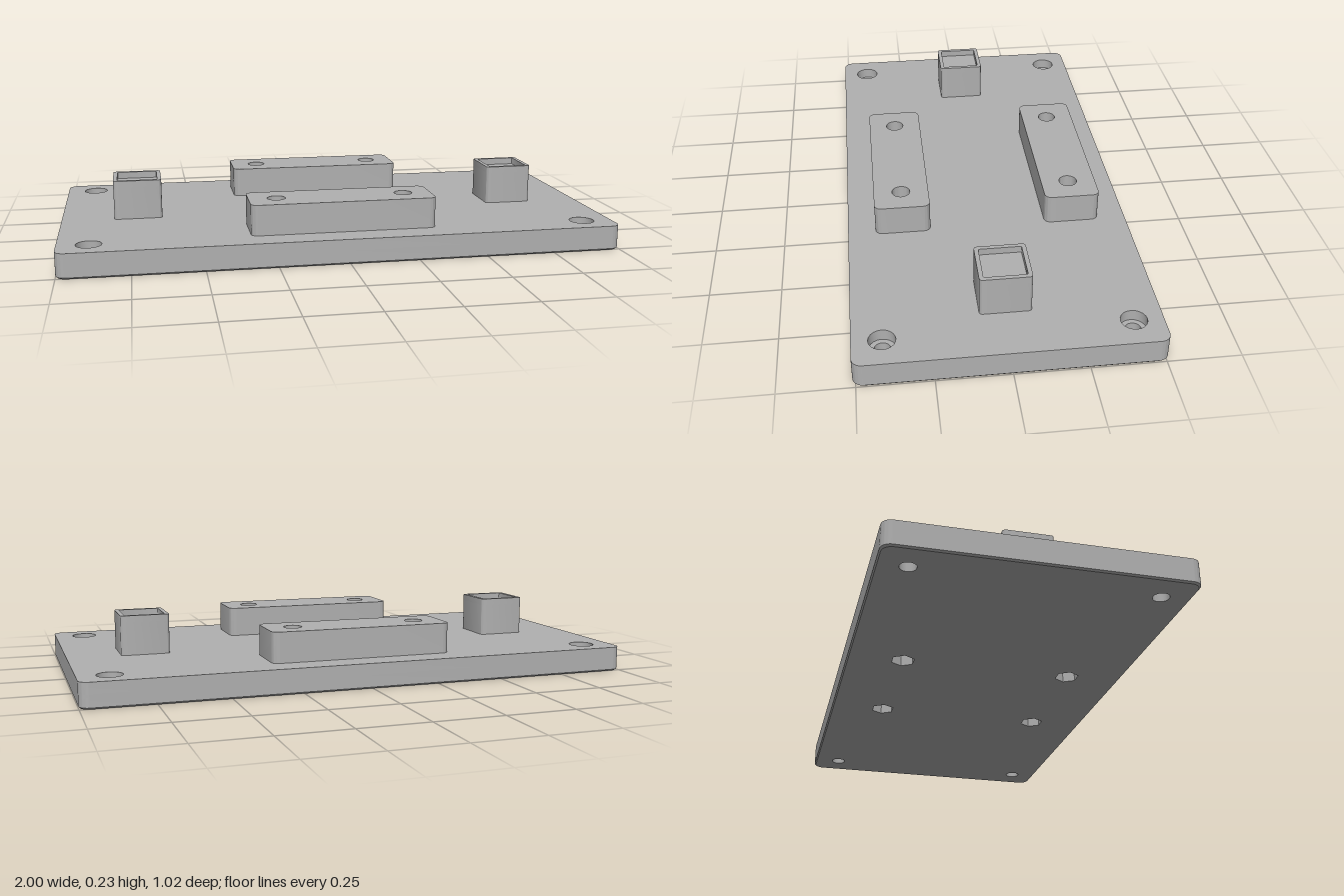
import * as THREE from 'three';
import { toCreasedNormals } from 'three/addons/utils/BufferGeometryUtils.js';

const SIGNS = [-1, 1];
const BOLTS = SIGNS.flatMap(sx => SIGNS.map(sz => [sx * 0.89, sz * 0.41]));
const NUTS = SIGNS.flatMap(sx => SIGNS.map(sz => [sx * 0.233, sz * 0.31]));

// Rounded rectangle centred on the origin
function roundedRect(w, d, r) {
  const x = w / 2 - r, y = d / 2 - r, q = Math.PI / 2;
  const s = new THREE.Shape();
  s.absarc(x, y, r, 0, q);
  s.absarc(-x, y, r, q, 2 * q);
  s.absarc(-x, -y, r, 2 * q, 3 * q);
  s.absarc(x, -y, r, 3 * q, 4 * q);
  s.closePath();
  return s;
}

function addRoundHoles(shape, centres, r) {
  for (const [x, z] of centres) {
    const p = new THREE.Path();
    p.absarc(x, -z, r, 0, Math.PI * 2, true);
    shape.holes.push(p);
  }
}

function addHexHoles(shape, centres, r) {
  for (const [x, z] of centres) {
    const pts = [];
    for (let i = 0; i < 6; i++) {
      const a = -i * Math.PI / 3;
      pts.push(new THREE.Vector2(x + r * Math.cos(a), -z + r * Math.sin(a)));
    }
    shape.holes.push(new THREE.Path(pts));
  }
}

// Upright prism between two heights
function prism(shape, y0, y1) {
  const g = new THREE.ExtrudeGeometry(shape, { depth: y1 - y0, bevelEnabled: false, curveSegments: 10 });
  g.rotateX(-Math.PI / 2);
  g.translate(0, y0, 0);
  return g;
}

export function createModel() {
  const group = new THREE.Group();
  const grey = new THREE.MeshStandardMaterial({ color: 0xb0b0b0 });
  grey.name = 'grey';

  function add(name, geometry, x = 0, z = 0) {
    const mesh = new THREE.Mesh(toCreasedNormals(geometry, Math.PI / 6), grey);
    mesh.name = name;
    mesh.position.set(x, 0, z);
    group.add(mesh);
  }

  // Base plate: lower layers hold nut pockets, upper layer holds counterbores
  const lower = roundedRect(2, 1.02, 0.035);
  addRoundHoles(lower, BOLTS, 0.028);
  addHexHoles(lower, NUTS, 0.044);
  add('basePlateLower', prism(lower, 0.006, 0.05));

  // Small chamfer around the bottom edge
  const foot = prism(lower, 0, 0.006);
  const p = foot.attributes.position;
  for (let i = 0; i < p.count; i++) {
    const x = p.getX(i), z = p.getZ(i);
    if (p.getY(i) < 0.003 && (Math.abs(x) > 0.96 || Math.abs(z) > 0.47)) {
      p.setX(i, x - Math.sign(x) * 0.005);
      p.setZ(i, z - Math.sign(z) * 0.005);
    }
  }
  add('basePlateChamfer', foot);

  const upper = roundedRect(2, 1.02, 0.035);
  addRoundHoles(upper, BOLTS, 0.045);
  addRoundHoles(upper, NUTS, 0.033);
  add('basePlateUpper', prism(upper, 0.05, 0.09));

  // Drilled mounting blocks, front and back
  const block = roundedRect(0.668, 0.2, 0.025);
  addRoundHoles(block, [[-0.233, 0], [0.233, 0]], 0.033);
  for (const s of SIGNS) add(s > 0 ? 'frontBlock' : 'backBlock', prism(block, 0.09, 0.2), 0, s * 0.31);

  // Square posts with a shallow recess on top
  const rim = roundedRect(0.176, 0.176, 0.012);
  rim.holes.push(new THREE.Path(roundedRect(0.146, 0.146, 0.003).getPoints(4).reverse()));
  for (const s of SIGNS) {
    const side = s > 0 ? 'left' : 'right';
    add(side + 'Post', prism(roundedRect(0.176, 0.176, 0.012), 0.09, 0.21), s * 0.72);
    add(side + 'PostRim', prism(rim, 0.21, 0.234), s * 0.72);
  }
  return group;
}
